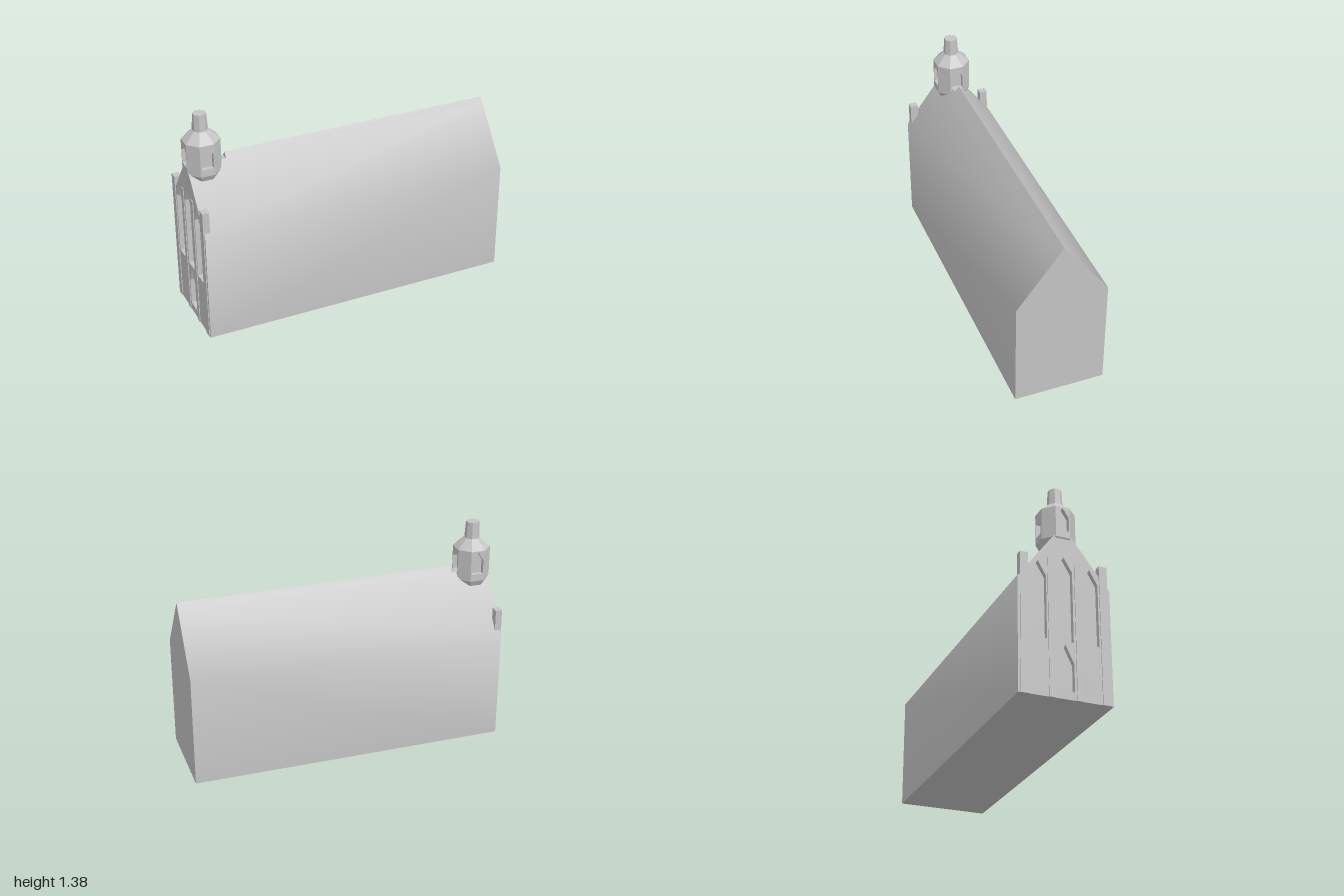
import * as THREE from 'three';
import { toCreasedNormals } from 'three/addons/utils/BufferGeometryUtils.js';

const EAVE = 0.71, RIDGE = 1.09, HALF = 0.285; // hall cross-section
const NOTCH = 1.055, NOTCH_X = -0.75; // ridge is cut away beside the turret
const NOTCH_Z = HALF * (RIDGE - NOTCH) / (RIDGE - EAVE);
const FACADE = -0.995;

export function createModel() {
  const model = new THREE.Group();
  const stone = new THREE.MeshStandardMaterial({ color: 0xc4c4c4 });
  stone.name = 'stone';

  const add = (name, geometry, parent = model) => {
    const mesh = new THREE.Mesh(geometry, stone);
    mesh.name = name;
    parent.add(mesh);
    return mesh;
  };
  const box = (name, w, h, d, x, y, z) => add(name, new THREE.BoxGeometry(w, h, d)).position.set(x, y, z);

  // Pointed opening outline
  const lancet = (cx, halfW, bottom, shoulder, apex) => new THREE.Path([
    [cx - halfW, bottom], [cx - halfW, shoulder], [cx, apex], [cx + halfW, shoulder], [cx + halfW, bottom],
  ].map(([x, y]) => new THREE.Vector2(x, y)));

  // Wall slab with openings, closed by a plate at the back of the recesses
  const piercedWall = (name, points, holes, depth) => {
    const group = new THREE.Group();
    group.name = name;
    const outline = new THREE.Shape(points.map(([x, y]) => new THREE.Vector2(x, y)));
    const backing = new THREE.Shape(outline.getPoints());
    outline.holes.push(...holes);
    add(name + 'Slab', new THREE.ExtrudeGeometry(outline, { depth, bevelEnabled: false }), group);
    add(name + 'Recess', new THREE.ShapeGeometry(backing), group);
    model.add(group);
    return group;
  };

  // Hall: walls blend softly into the roof, all other edges are sharp
  const pos = [];
  const tri = (a, b, c, flip) => pos.push(...a, ...(flip ? c : b), ...(flip ? b : c));
  const quad = (a, b, c, d, flip) => { tri(a, b, c, flip); tri(a, c, d, flip); };
  for (const s of [1, -1]) {
    const strip = (x0, y0, z0, y1, z1) => quad(
      [x0, y0, s * z0], [1, y0, s * z0], [1, y1, s * z1], [x0, y1, s * z1], s < 0);
    strip(FACADE, 0, HALF, EAVE, HALF);
    strip(FACADE, EAVE, HALF, NOTCH, NOTCH_Z);
    strip(NOTCH_X, NOTCH, NOTCH_Z, RIDGE, 0);
  }
  quad([1, 0, HALF], [1, 0, -HALF], [1, EAVE, -HALF], [1, EAVE, HALF]);
  tri([1, EAVE, HALF], [1, EAVE, -HALF], [1, RIDGE, 0]);
  quad([FACADE, 0, -HALF], [1, 0, -HALF], [1, 0, HALF], [FACADE, 0, HALF]);
  quad([FACADE, NOTCH, NOTCH_Z], [NOTCH_X, NOTCH, NOTCH_Z], [NOTCH_X, NOTCH, -NOTCH_Z], [FACADE, NOTCH, -NOTCH_Z]);
  tri([NOTCH_X, NOTCH, -NOTCH_Z], [NOTCH_X, NOTCH, NOTCH_Z], [NOTCH_X, RIDGE, 0]);
  const hall = new THREE.BufferGeometry();
  hall.setAttribute('position', new THREE.Float32BufferAttribute(pos, 3));
  add('hall', toCreasedNormals(hall, THREE.MathUtils.degToRad(42)));

  // Entrance gable with three lancets and a doorway
  const h = HALF - 0.0005;
  const gable = piercedWall('gableWall',
    [[-h, 0.0005], [h, 0.0005], [h, EAVE], [NOTCH_Z, NOTCH - 0.0005], [-NOTCH_Z, NOTCH - 0.0005], [-h, EAVE]],
    [
      lancet(-0.16, 0.05, 0.35, 0.74, 0.83),
      lancet(0.16, 0.05, 0.35, 0.74, 0.83),
      lancet(0, 0.052, 0.35, 0.79, 0.88),
      lancet(0, 0.052, 0.05, 0.22, 0.33),
    ], 0.03);
  gable.rotation.y = -Math.PI / 2;
  gable.position.x = FACADE + 0.03;

  // Buttresses rising into pinnacles, and slim pilasters between the windows
  for (const s of [1, -1]) {
    box('buttress', 0.042, 0.865, 0.05, -0.979, 0.4325, s * 0.245);
    box('pilaster', 0.012, 0.86, 0.036, -0.994, 0.43, s * 0.083);
  }

  // Octagonal turret straddling the ridge
  const cx = -0.893, apothem = 0.107, low = 1.01, high = 1.21;
  const half = apothem * Math.tan(Math.PI / 8);
  const octagon = (name, top, bottom, y0, y1, open = false) => {
    const k = 1 / Math.cos(Math.PI / 8);
    const g = new THREE.CylinderGeometry(top * k, bottom * k, y1 - y0, 8, 1, open);
    g.rotateY(Math.PI / 8);
    add(name, toCreasedNormals(g, 0.3)).position.set(cx, (y0 + y1) / 2, 0);
  };
  for (let i = 0; i < 8; i++) {
    const a = i * Math.PI / 4;
    let face, r = apothem;
    if (i % 2) {
      face = add('turretSide', new THREE.PlaneGeometry(2 * half, high - low));
      face.position.y = (low + high) / 2;
    } else {
      r -= 0.03;
      face = piercedWall('turretWindow', [[-half, low], [half, low], [half, high], [-half, high]],
        [lancet(0, 0.038, NOTCH, 1.145, 1.205)], 0.03);
    }
    face.rotation.y = a;
    face.position.x = cx + r * Math.sin(a);
    face.position.z = r * Math.cos(a);
  }
  octagon('turretBase', apothem, 0.087, 0.97, low);
  octagon('turretRoof', 0.042, apothem, high, 1.272);
  octagon('turretSpire', 0.038, 0.044, 1.27, 1.375);

  return model;
}
